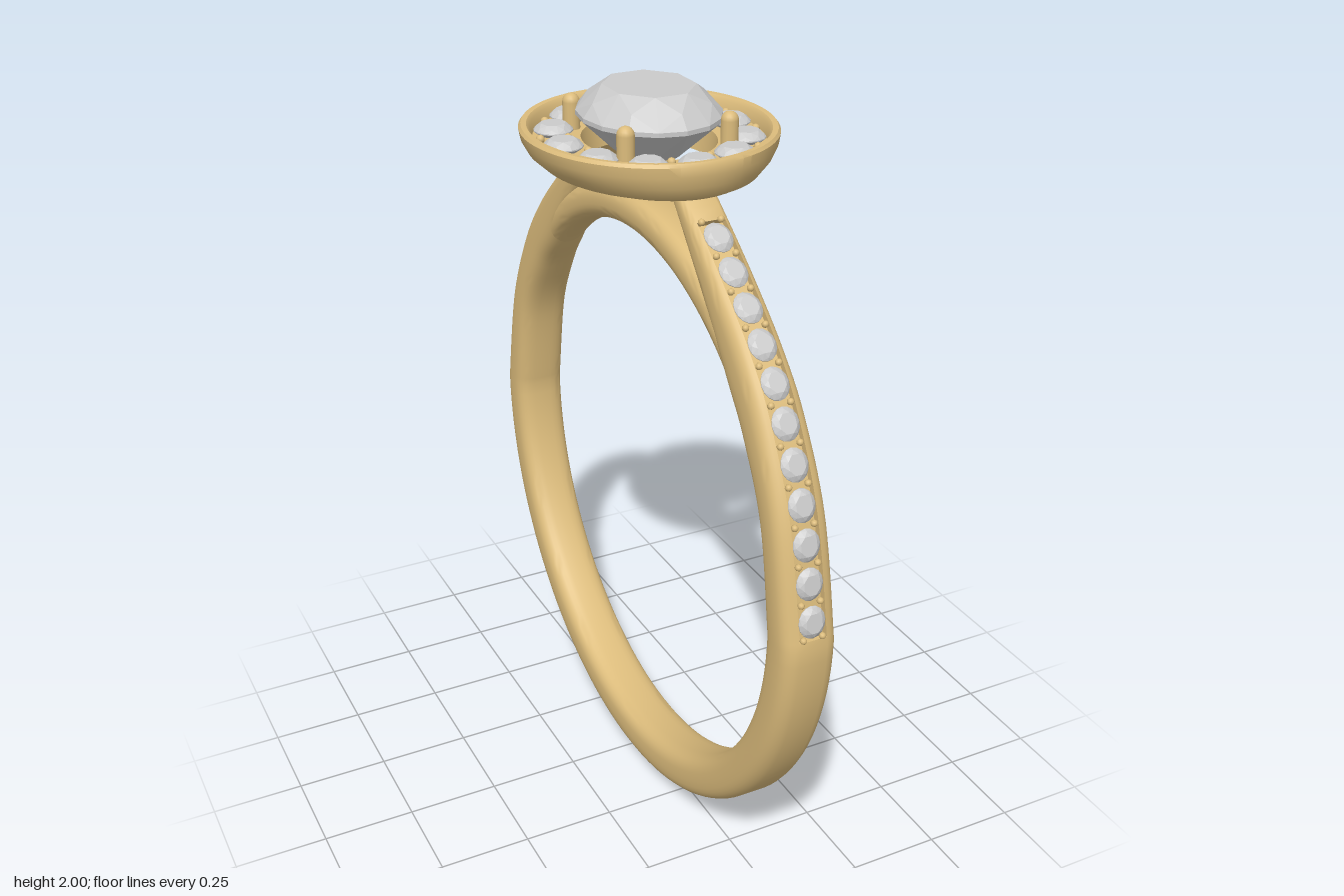
import * as THREE from 'three';
import { toCreasedNormals } from 'three/addons/utils/BufferGeometryUtils.js';
import { ConvexGeometry } from 'three/addons/geometries/ConvexGeometry.js';

const gold = new THREE.MeshStandardMaterial({ color: 0xdcbc7c });
const stoneMat = new THREE.MeshStandardMaterial({ color: 0xcccccc });
const CY = 0.87; // height of the band's centre
const UP = new THREE.Vector3(0, 1, 0);

function add(parent, name, geometry, material, x = 0, y = 0, z = 0) {
  const mesh = new THREE.Mesh(geometry, material);
  mesh.name = name;
  mesh.position.set(x, y, z);
  parent.add(mesh);
  return mesh;
}

// Skin closed cross-section loops into a surface
function skin(rows) {
  const n = rows[0].length, index = [];
  for (let r = 0; r < rows.length - 1; r++) {
    for (let k = 0; k < n; k++) {
      const a = r * n + k, b = r * n + (k + 1) % n;
      index.push(a, b, b + n, a, b + n, a + n);
    }
  }
  const g = new THREE.BufferGeometry();
  g.setAttribute('position', new THREE.Float32BufferAttribute(rows.flat(2), 3));
  g.setIndex(index);
  return toCreasedNormals(g, 0.7);
}

// Rounded band section between an inner and an outer point, with an optional groove
const GROOVE = 0.037;
function section(inner, outer, w, power, depth = 0) {
  const dz = outer.x - inner.x, dy = outer.y - inner.y, T = Math.hypot(dz, dy);
  const a0 = Math.acos(Math.pow(GROOVE / w, power / 2));
  const soft = (v) => Math.sign(v) * Math.pow(Math.abs(v), 2 / power);
  const flat = [];
  for (let i = 0; i <= 28; i++) {
    const a = Math.PI - a0 + (Math.PI + 2 * a0) * i / 28;
    flat.push([w * soft(Math.cos(a)), T / 2 * soft(Math.sin(a))]);
  }
  const floor = flat[0][1] - depth;
  flat.push([GROOVE, floor], [-GROOVE, floor]);
  return flat.map(([x, v]) => {
    const f = 0.5 + v / T;
    return [x, CY + inner.y + dy * f, inner.x + dz * f];
  });
}

// Shoulder edges as (z, y) around the band's centre
const curve = (pts) => new THREE.SplineCurve(pts.map(([z, y]) => new THREE.Vector2(z, y)));
const outerEdge = curve([[0.87, 0], [0.80, 0.31], [0.695, 0.53], [0.59, 0.665],
  [0.47, 0.775], [0.36, 0.865], [0.245, 0.95]]);
const innerEdge = curve([[0.745, 0], [0.695, 0.265], [0.60, 0.44], [0.515, 0.545],
  [0.41, 0.68], [0.31, 0.795], [0.19, 0.93]]);
const polar = (r, a) => new THREE.Vector2(r * Math.cos(a), r * Math.sin(a));

function bandGeometry() {
  const us = [0.02, 0.0205, 0.91, 0.9105];
  for (let i = 0; i <= 36; i++) us.push(i / 36);
  us.sort((a, b) => b - a);
  const half = us.map((u) => {
    const t = outerEdge.getUtoTmapping(u);
    const depth = u > 0.0202 && u < 0.9102 ? 0.018 : 0;
    return section(innerEdge.getPoint(t), outerEdge.getPoint(t), 0.075 - 0.025 * u * u, 3, depth);
  });
  for (let i = 1; i <= 32; i++) {
    const a = -Math.PI / 2 * i / 32;
    half.push(section(polar(0.745, a), polar(0.87, a), 0.075, 3));
  }
  const other = half.slice(0, -1).reverse().map((row) => row.map(([x, y, z]) => [x, y, -z]));
  return skin([...half, ...other]);
}

// Inner arch closing the finger hole under the head
function archGeometry() {
  const rows = [];
  for (let i = 0; i <= 40; i++) {
    const a = THREE.MathUtils.degToRad(140 - 100 * i / 40);
    rows.push(section(polar(0.75, a), polar(0.85, a), 0.06, 2.5));
  }
  return skin(rows);
}

// Oval dish: profile points are [x radius, z radius, y]
function haloGeometry() {
  const profile = [[0.23, 0.30, 1.80], [0.265, 0.318, 1.81], [0.298, 0.333, 1.84],
    [0.315, 0.34, 1.87], [0.32, 0.341, 1.895], [0.314, 0.335, 1.903], [0.30, 0.321, 1.902],
    [0.292, 0.313, 1.893], [0.287, 0.308, 1.865], [0.165, 0.19, 1.865], [0.155, 0.18, 1.80]];
  const rows = [];
  for (let i = 0; i <= 72; i++) {
    const a = Math.PI * 2 * i / 72;
    rows.push(profile.map(([rx, rz, y]) => [rx * Math.cos(a), y, rz * Math.sin(a)]));
  }
  return skin(rows);
}

// Faceted cut stone with its girdle at y = 0
function gemGeometry(rx, rz, crown, pavilion) {
  const pts = [new THREE.Vector3(0, -pavilion, 0)];
  const ring = (count, r, y, turn = 0) => {
    for (let i = 0; i < count; i++) {
      const a = (i + turn) / count * Math.PI * 2;
      pts.push(new THREE.Vector3(rx * r * Math.cos(a), y, rz * r * Math.sin(a)));
    }
  };
  ring(8, 0.64, crown, 0.5);
  ring(8, 0.86, crown * 0.55);
  ring(16, 1, crown * 0.08);
  ring(16, 1, -crown * 0.08);
  ring(8, 0.5, -pavilion * 0.58, 0.5);
  return new ConvexGeometry(pts);
}

export function createModel() {
  const ring = new THREE.Group();
  ring.name = 'ring';
  add(ring, 'band', bandGeometry(), gold);
  add(ring, 'innerArch', archGeometry(), gold);

  // Head: oval halo, centre stone and four prongs
  const head = new THREE.Group();
  head.name = 'head';
  ring.add(head);
  add(head, 'halo', haloGeometry(), gold);
  add(head, 'centreStone', gemGeometry(0.178, 0.204, 0.07, 0.16), stoneMat, 0, 1.93, 0);
  const prong = new THREE.CapsuleGeometry(0.022, 0.1, 6, 16);
  for (const sx of [-1, 1]) {
    for (const sz of [-1, 1]) add(head, 'prong', prong, gold, sx * 0.14, 1.883, sz * 0.157);
  }

  // Halo stones with holding beads between them
  const haloGem = gemGeometry(0.05, 0.05, 0.018, 0.035);
  const bead = new THREE.SphereGeometry(0.011, 10, 8);
  for (let i = 0; i < 12; i++) {
    const a = i * Math.PI / 6, b = a + Math.PI / 12;
    add(head, 'haloStone', haloGem, stoneMat, 0.232 * Math.cos(a), 1.876, 0.263 * Math.sin(a))
      .rotation.y = -a;
    for (const d of [-0.033, 0.036]) {
      add(head, 'haloBead', bead, gold, (0.232 + d) * Math.cos(b), 1.874, (0.263 + d) * Math.sin(b));
    }
  }

  // Rows of small stones set in the shoulder grooves
  const smallGem = gemGeometry(0.036, 0.041, 0.013, 0.025);
  const smallBead = new THREE.SphereGeometry(0.009, 8, 6);
  for (const side of [0, 1]) {
    const row = new THREE.Group();
    row.name = side ? 'backStoneRow' : 'frontStoneRow';
    row.rotation.y = side * Math.PI;
    ring.add(row);
    for (let i = 0; i <= 22; i++) {
      const u = 0.06 + 0.81 * (i - 1) / 20;
      const p = outerEdge.getPointAt(Math.max(u, 0.025));
      const t = outerEdge.getTangentAt(Math.max(u, 0.025));
      const seat = new THREE.Group();
      seat.name = i % 2 ? 'stoneSeat' : 'beadPair';
      seat.position.set(0, CY + p.y, p.x);
      seat.quaternion.setFromUnitVectors(UP, new THREE.Vector3(0, -t.x, t.y));
      row.add(seat);
      if (i % 2) add(seat, 'smallStone', smallGem, stoneMat, 0, -0.004, 0);
      else for (const s of [-1, 1]) add(seat, 'smallBead', smallBead, gold, s * 0.026, -0.004, 0);
    }
  }
  return ring;
}
